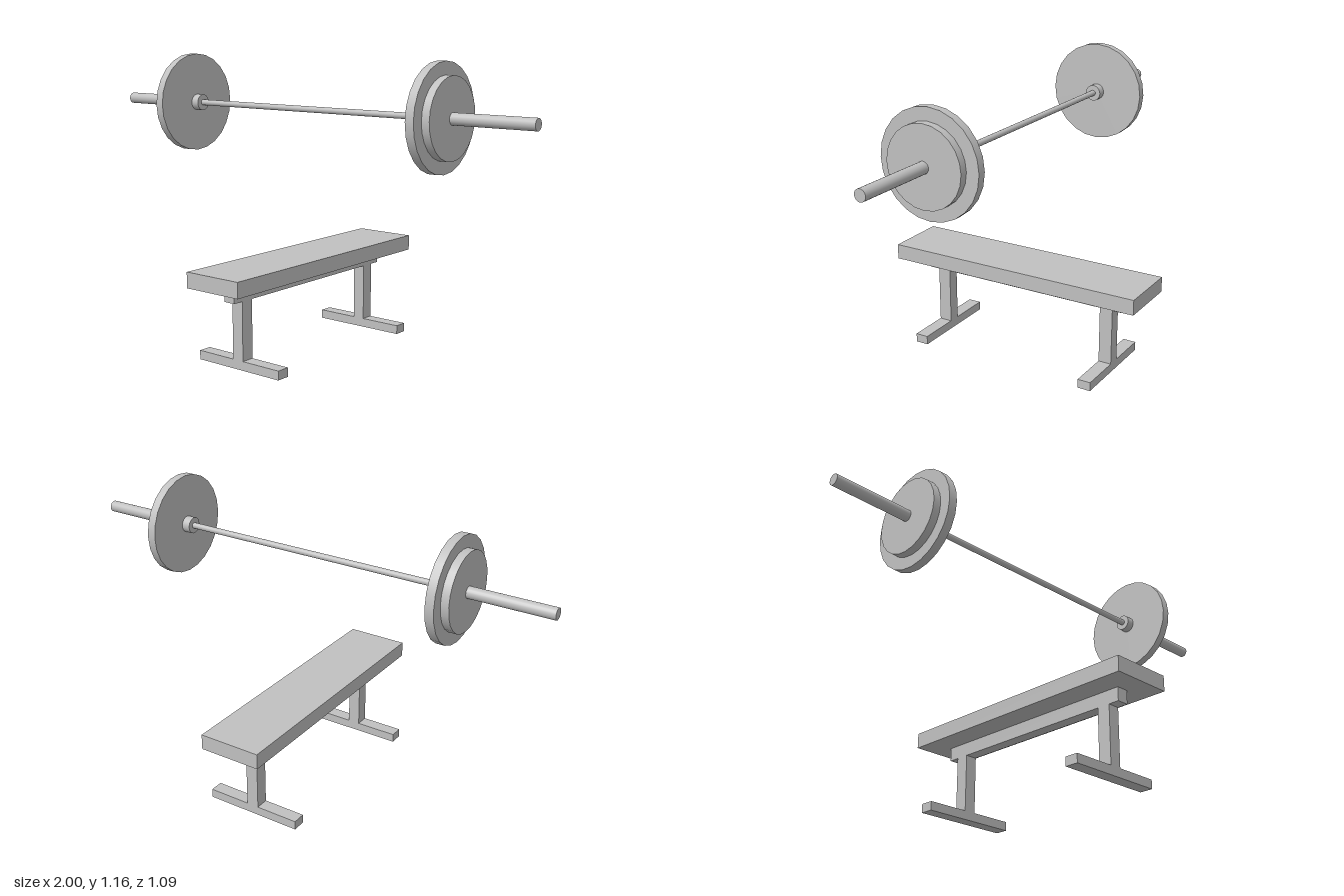
import * as THREE from 'three';

const steel = new THREE.MeshStandardMaterial({ color: 0xc0c0c0 });
steel.name = 'lightGrey';

// Box given by its centre x/z, bottom and top heights, and full width/depth
function box(name, width, bottom, top, depth, z = 0) {
  const mesh = new THREE.Mesh(new THREE.BoxGeometry(width, top - bottom, depth), steel);
  mesh.name = name;
  mesh.position.set(0, (bottom + top) / 2, z);
  return mesh;
}

// Cylinder lying along x between two positions
function rod(name, radius, x0, x1, sides = 24) {
  const geometry = new THREE.CylinderGeometry(radius, radius, Math.abs(x1 - x0), sides);
  geometry.rotateZ(Math.PI / 2);
  const mesh = new THREE.Mesh(geometry, steel);
  mesh.name = name;
  mesh.position.x = (x0 + x1) / 2;
  return mesh;
}

export function createModel() {
  const model = new THREE.Group();
  model.name = 'benchPressSet';

  // Bench: pad, spine beam, and a T-shaped stand at each end
  const bench = new THREE.Group();
  bench.name = 'bench';
  bench.add(box('pad', 0.254, 0.322, 0.384, 1.09));
  bench.add(box('spineBeam', 0.05, 0.268, 0.322, 0.906));
  for (const [end, side] of [['front', 1], ['back', -1]]) {
    bench.add(box(end + 'Leg', 0.05, 0.036, 0.268, 0.054, side * 0.382));
    bench.add(box(end + 'Foot', 0.4, 0, 0.036, 0.054, side * 0.382));
  }
  model.add(bench);

  // Barbell: thin bar with a collar, two plates and a sleeve on each side
  const barbell = new THREE.Group();
  barbell.name = 'barbell';
  barbell.position.y = 0.957;
  barbell.add(rod('bar', 0.012, -0.57, 0.57));
  for (const [side, s] of [['left', 1], ['right', -1]]) {
    barbell.add(rod(side + 'Collar', 0.033, s * 0.565, s * 0.602));
    barbell.add(rod(side + 'LargePlate', 0.204, s * 0.6, s * 0.635));
    barbell.add(rod(side + 'SmallPlate', 0.154, s * 0.635, s * 0.667));
    barbell.add(rod(side + 'Sleeve', 0.023, s * 0.602, s * 1));
  }
  model.add(barbell);

  return model;
}
